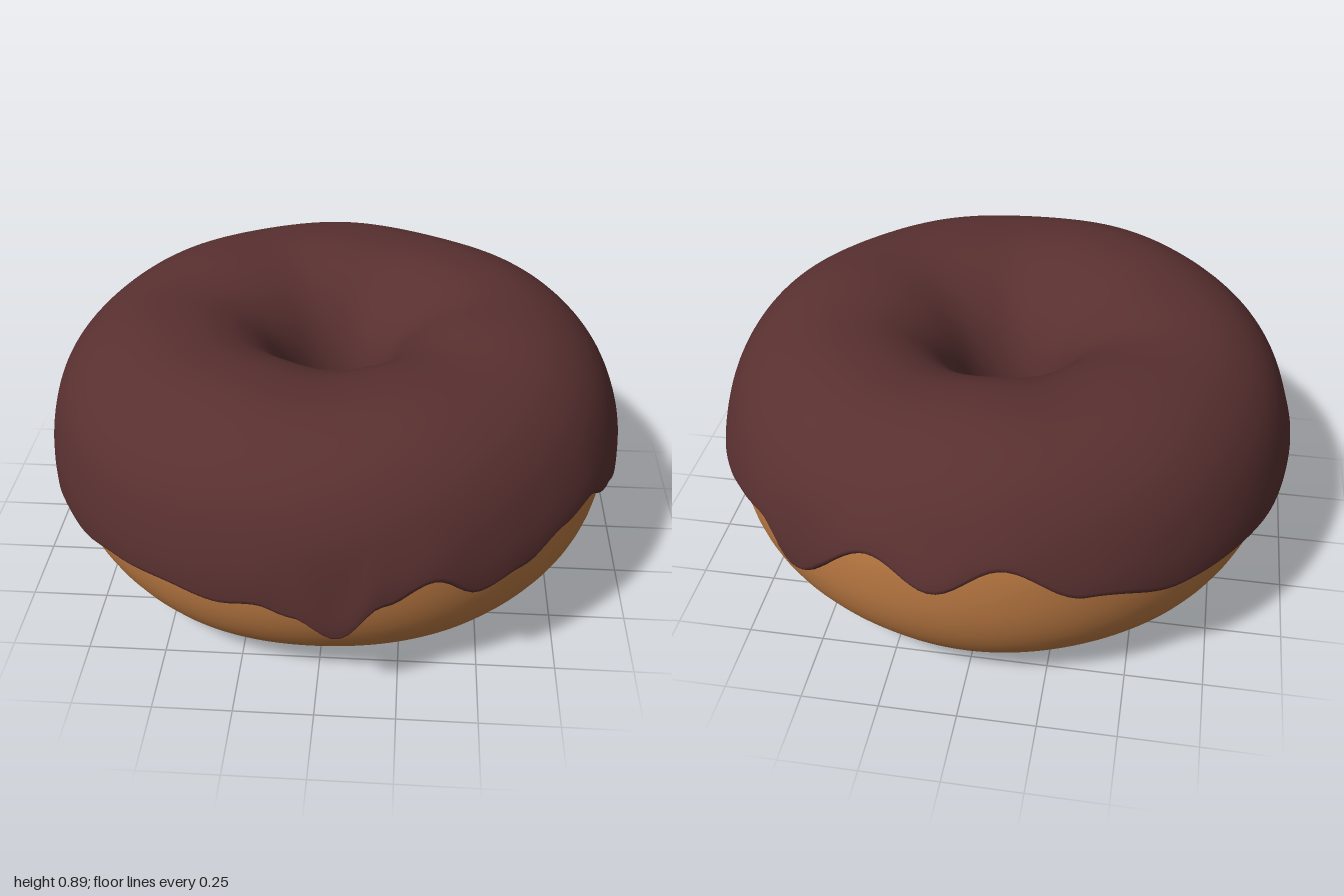
import * as THREE from 'three';

const CENTRE_R = 0.555, CENTRE_Y = 0.44, HALF_W = 0.385, HALF_H = 0.43, POWER = 2.2;
const RING_STEPS = 240;

// Icing edge height by angle in degrees (0 = +x, 90 = front)
const EDGE = [
  [-180, 0.45], [-161, 0.39], [-147, 0.40], [-132, 0.40], [-113, 0.46], [-98, 0.57], [-86, 0.49], [-74, 0.56],
  [-56, 0.37], [-47, 0.48], [-39, 0.47], [-28, 0.445], [-15, 0.41], [-3, 0.455], [12, 0.385], [22, 0.43],
  [31, 0.49], [40, 0.47], [51, 0.41], [60, 0.38], [69, 0.46], [78, 0.40], [86, 0.29], [94, 0.36],
  [100, 0.39], [108, 0.37], [118, 0.385], [130, 0.375], [142, 0.35], [150, 0.36], [160, 0.34], [172, 0.38], [180, 0.45],
];

function edgeHeight(deg) {
  const i = EDGE.findIndex((p, k) => k > 0 && deg <= p[0]);
  const [d0, h0] = EDGE[i - 1], [d1, h1] = EDGE[i];
  const k = (1 - Math.cos(Math.PI * (deg - d0) / (d1 - d0))) / 2;
  return h0 + (h1 - h0) * k;
}

const signedPow = (v, e) => Math.sign(v) * Math.abs(v) ** e;

// Point on the squarish ring: a goes round the hole, t round the tube, off is the height above the dough
function ringPoint(a, t, off) {
  const c = signedPow(Math.cos(t), 2 / POWER), s = signedPow(Math.sin(t), 2 / POWER);
  const r = CENTRE_R + (HALF_W + off) * c;
  const wobble = 0.006 * s * Math.sin(3 * a + 1) + 0.004 * s * Math.sin(7 * a);
  const y = CENTRE_Y + (HALF_H + off * 0.5) * s + wobble;
  const holeShift = 0.02 * Math.max(0, -Math.cos(t));
  return [r * Math.cos(a), y, r * Math.sin(a) - holeShift];
}

// Smooth skin closed round the hole; section(a) returns a list of [t, off]
function ringSkin(section) {
  const pos = [], index = [];
  let rows = 0;
  for (let i = 0; i < RING_STEPS; i++) {
    const a = -Math.PI + (i / RING_STEPS) * 2 * Math.PI;
    const pts = section(a);
    rows = pts.length;
    for (const [t, off] of pts) pos.push(...ringPoint(a, t, off));
  }
  for (let i = 0; i < RING_STEPS; i++) {
    const n = (i + 1) % RING_STEPS;
    for (let j = 0; j < rows - 1; j++) {
      const p = i * rows + j, q = n * rows + j;
      index.push(p, p + 1, q, q, p + 1, q + 1);
    }
  }
  const geo = new THREE.BufferGeometry();
  geo.setAttribute('position', new THREE.Float32BufferAttribute(pos, 3));
  geo.setIndex(index);
  geo.computeVertexNormals();
  return geo;
}

// Dough: the whole tube, with its seam hidden under the icing
function doughSection() {
  const pts = [];
  for (let j = 0; j <= 64; j++) pts.push([Math.PI / 2 + (j / 64) * 2 * Math.PI, 0]);
  return pts;
}

// Icing: rounded lip at the dripping edge, over the top, and down into the hole
function icingSection(a) {
  const deg = THREE.MathUtils.radToDeg(a);
  const dy = (edgeHeight(deg) - CENTRE_Y) / HALF_H;
  const tOut = Math.asin(signedPow(dy, POWER / 2));
  const tIn = Math.PI + 0.06 + 0.08 * Math.sin(5 * a);
  const drip = Math.exp(-(((Math.abs(deg) - 86) / 6) ** 2));
  const thick = (t) => 0.026 + (0.014 + 0.022 * drip) * Math.exp(-(((t - tOut) / 0.25) ** 2));
  const lip = 0.05, pts = [];
  for (let k = 0; k <= 8; k++) {
    const f = -Math.PI / 2 + (k / 8) * Math.PI;
    const t = tOut + lip * (1 - Math.cos(f));
    pts.push([t, thick(t) * (0.45 + 0.55 * Math.sin(f))]);
  }
  const start = tOut + lip;
  for (let j = 1; j <= 48; j++) {
    const t = start + (j / 48) * (tIn - start);
    pts.push([t, thick(t)]);
  }
  for (let k = 1; k <= 4; k++) {
    const f = (k / 4) * Math.PI / 2;
    pts.push([tIn + 0.05 * Math.sin(f), 0.026 * Math.cos(f) - 0.003 * k / 4]);
  }
  return pts;
}

export function createModel() {
  const group = new THREE.Group();
  group.name = 'doughnut';

  const doughMat = new THREE.MeshStandardMaterial({ color: 0xbc7a43 });
  doughMat.name = 'golden dough';
  const icingMat = new THREE.MeshStandardMaterial({ color: 0x593030 });
  icingMat.name = 'chocolate icing';

  const dough = new THREE.Mesh(ringSkin(doughSection), doughMat);
  dough.name = 'dough';
  const icing = new THREE.Mesh(ringSkin(icingSection), icingMat);
  icing.name = 'icing';

  group.add(dough, icing);
  return group;
}
